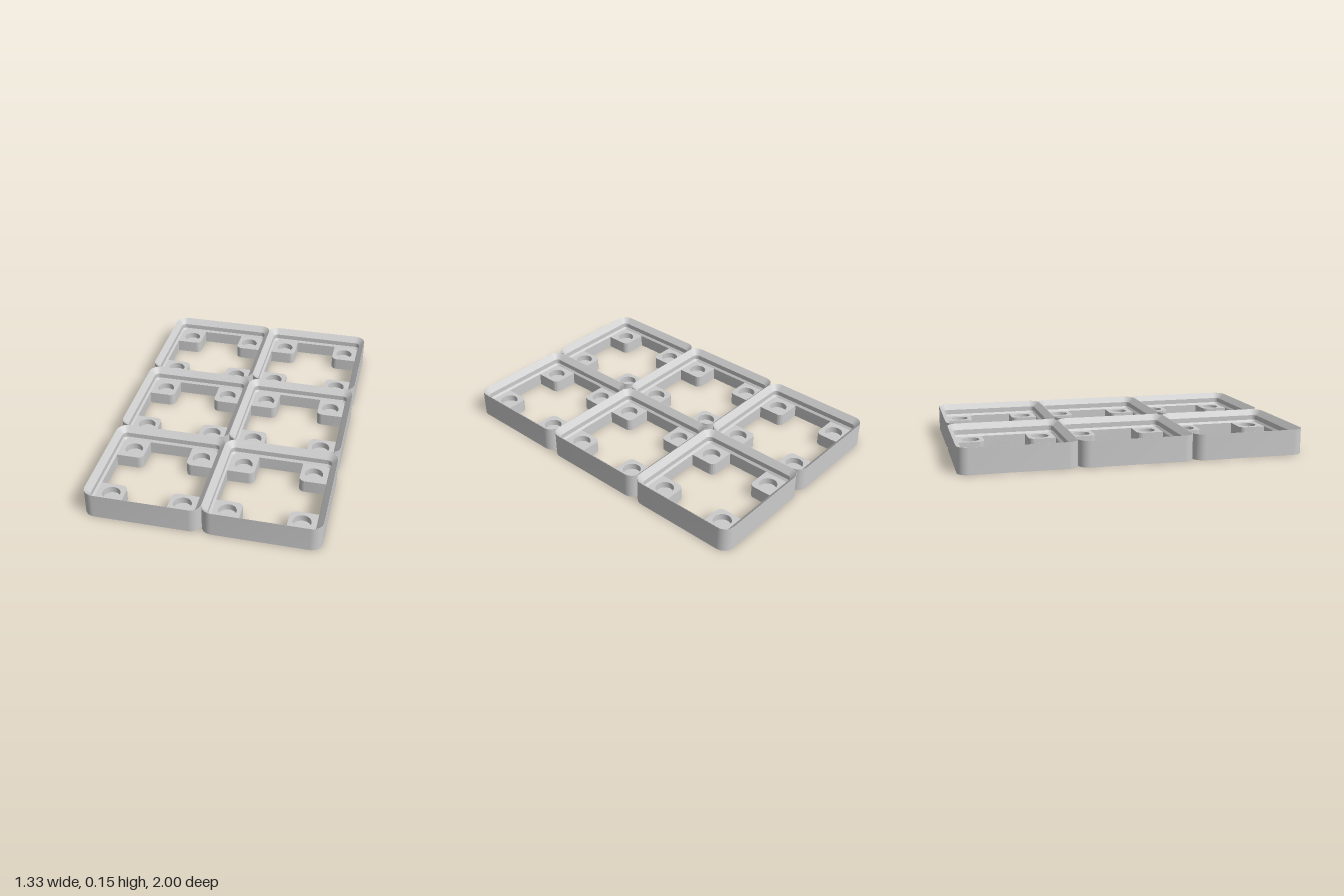
import * as THREE from 'three';
import { toCreasedNormals } from 'three/addons/utils/BufferGeometryUtils.js';

const HALF = 1 / 3;       // half of one square cell
const RADIUS = 0.0635;    // outer corner radius
const HEIGHT = 0.15;
const PAD_TOP = 0.076;
const HOLE_DEPTH = 0.038;
const ARC = 10;           // segments per rounded corner

// Wall cross-section as [inset from the cell edge, y], going up the outside and down the inside
const PROFILE = [
  [0, 0], [0, HEIGHT], [0.001, HEIGHT], [0.034, 0.117], [0.034, 0.088], [0.045, PAD_TOP], [0.045, 0],
];

// Sweeps the closed profile around a rounded square
function frameGeometry() {
  const pos = [], index = [];
  const ring = 4 * (ARC + 1), rows = PROFILE.length;
  const c = HALF - RADIUS;
  for (const [inset, y] of PROFILE) {
    for (let q = 0; q < 4; q++) {
      const a0 = q * Math.PI / 2;
      const cx = c * (q === 0 || q === 3 ? 1 : -1), cz = c * (q < 2 ? 1 : -1);
      for (let i = 0; i <= ARC; i++) {
        const a = a0 + (i / ARC) * Math.PI / 2;
        pos.push(cx + (RADIUS - inset) * Math.cos(a), y, cz + (RADIUS - inset) * Math.sin(a));
      }
    }
  }
  for (let r = 0; r < rows; r++) {
    const s = (r + 1) % rows;
    for (let i = 0; i < ring; i++) {
      const j = (i + 1) % ring;
      const a = r * ring + i, b = r * ring + j, d = s * ring + i, e = s * ring + j;
      index.push(a, d, b, b, d, e);
    }
  }
  const g = new THREE.BufferGeometry();
  g.setAttribute('position', new THREE.Float32BufferAttribute(pos, 3));
  g.setIndex(index);
  return toCreasedNormals(g, 0.5);
}

// Corner pad layer, square with its free corner rounded, optionally pierced by the round pocket
function padGeometry(depth, y, pierced) {
  const lo = HALF - 0.203, hi = HALF - 0.04, r = 0.034, mid = HALF - 0.127;
  const s = new THREE.Shape();
  s.moveTo(lo + r, lo);
  s.lineTo(hi, lo);
  s.lineTo(hi, hi);
  s.lineTo(lo, hi);
  s.lineTo(lo, lo + r);
  s.absarc(lo + r, lo + r, r, Math.PI, 1.5 * Math.PI, false);
  if (pierced) s.holes.push(new THREE.Path().absarc(mid, mid, 0.0516, 0, 2 * Math.PI, true));
  const g = new THREE.ExtrudeGeometry(s, { depth, bevelEnabled: false, curveSegments: 16 });
  g.rotateX(-Math.PI / 2);
  g.translate(0, y, 0);
  return toCreasedNormals(g, 0.5);
}

export function createModel() {
  const model = new THREE.Group();
  model.name = 'gridBaseplate';
  const material = new THREE.MeshStandardMaterial({ color: 0xcccccc });
  const frame = frameGeometry();
  const floor = padGeometry(PAD_TOP - HOLE_DEPTH, 0, false);
  const collar = padGeometry(HOLE_DEPTH, PAD_TOP - HOLE_DEPTH, true);

  const add = (parent, geometry, name) => {
    const mesh = new THREE.Mesh(geometry, material);
    mesh.name = name;
    parent.add(mesh);
  };

  // Two columns by three rows of identical cells
  for (let col = 0; col < 2; col++) {
    for (let row = 0; row < 3; row++) {
      const cell = new THREE.Group();
      cell.name = `cell_${col}_${row}`;
      cell.position.set((col - 0.5) * 2 * HALF, 0, (row - 1) * 2 * HALF);
      add(cell, frame, 'cellWall');
      // A pad with a blind round pocket in each corner
      for (let k = 0; k < 4; k++) {
        const pad = new THREE.Group();
        pad.name = 'cornerPad';
        pad.rotation.y = k * Math.PI / 2;
        add(pad, floor, 'padFloor');
        add(pad, collar, 'pocketCollar');
        cell.add(pad);
      }
      model.add(cell);
    }
  }
  return model;
}
